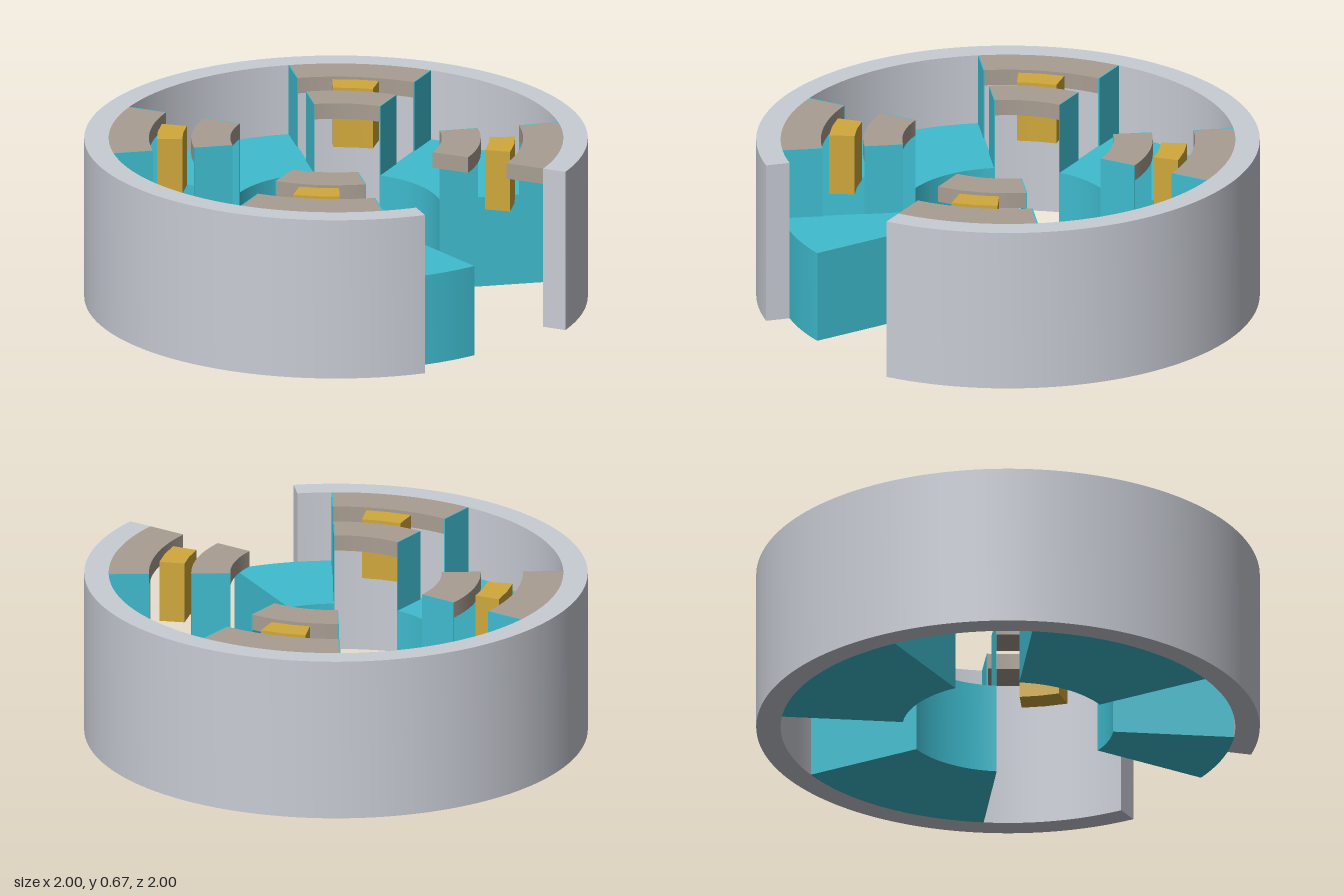
import * as THREE from 'three';
import { toCreasedNormals } from 'three/addons/utils/BufferGeometryUtils.js';

const mat = (name, color) => {
  const m = new THREE.MeshStandardMaterial({ color });
  m.name = name;
  return m;
};

const INNER = 0.42, OUTER = 0.903, HEIGHT = 0.665, FLOOR = 0.375, CAP = 0.6;
// radial bands carrying the caps, either side of the open slot
const BANDS = [[INNER, 0.575], [0.743, OUTER]];
const rad = THREE.MathUtils.degToRad;

// Upright ring segment; angles in degrees run from +x towards +z
function arcBlock(r0, r1, a0, a1, y0, y1, segments) {
  const s = new THREE.Shape();
  s.absarc(0, 0, r1, rad(a0), rad(a1), false);
  s.absarc(0, 0, r0, rad(a1), rad(a0), true);
  s.closePath();
  const g = new THREE.ExtrudeGeometry(s, {
    depth: y1 - y0, bevelEnabled: false,
    curveSegments: segments ?? Math.max(2, Math.ceil((a1 - a0) / 2)),
  });
  g.rotateX(Math.PI / 2).translate(0, y1, 0);
  return toCreasedNormals(g, 0.5);
}

export function createModel() {
  const grey = mat('housing grey', 0xc8ccd4);
  const teal = mat('sector teal', 0x3fbccf);
  const tan = mat('cap tan', 0xa89d92);
  const gold = mat('block gold', 0xd0a83c);

  const root = new THREE.Group();
  root.name = 'segmentedRing';
  const add = (name, material, geometry, parent = root) => {
    const m = new THREE.Mesh(geometry, material);
    m.name = name;
    parent.add(m);
  };

  // Outer housing with a cutaway opening
  add('housing', grey, arcBlock(OUTER, 1, 45, 360, 0, HEIGHT));

  for (let i = 0; i < 4; i++) {
    const start = i * 90, end = start + 54, next = start + 90;

    // Solid sector; the first one is shortened by the cutaway
    const sector = new THREE.Group();
    sector.name = 'sector' + (i + 1);
    root.add(sector);
    const from = i === 0 ? 28.2 : start;
    add('sectorBlock', teal, arcBlock(INNER, OUTER, from, end, 0, FLOOR), sector);

    // Slot between sectors: caps, upright end plates and a floating block
    const slot = new THREE.Group();
    slot.name = 'slot' + (i + 1);
    root.add(slot);
    for (const [r0, r1] of BANDS) {
      add('cap', tan, arcBlock(r0, r1, end, next, CAP, HEIGHT), slot);
      add('endPlate', teal, arcBlock(r0, r1, end - 0.4, end, FLOOR, HEIGHT, 1), sector);
      if (i > 0) add('startPlate', teal, arcBlock(r0, r1, start, start + 0.4, FLOOR, HEIGHT, 1), sector);
    }
    add('block', gold, arcBlock(0.61, 0.712, end + 10.5, end + 25.5, 0.415, HEIGHT, 1), slot);
  }
  return root;
}
